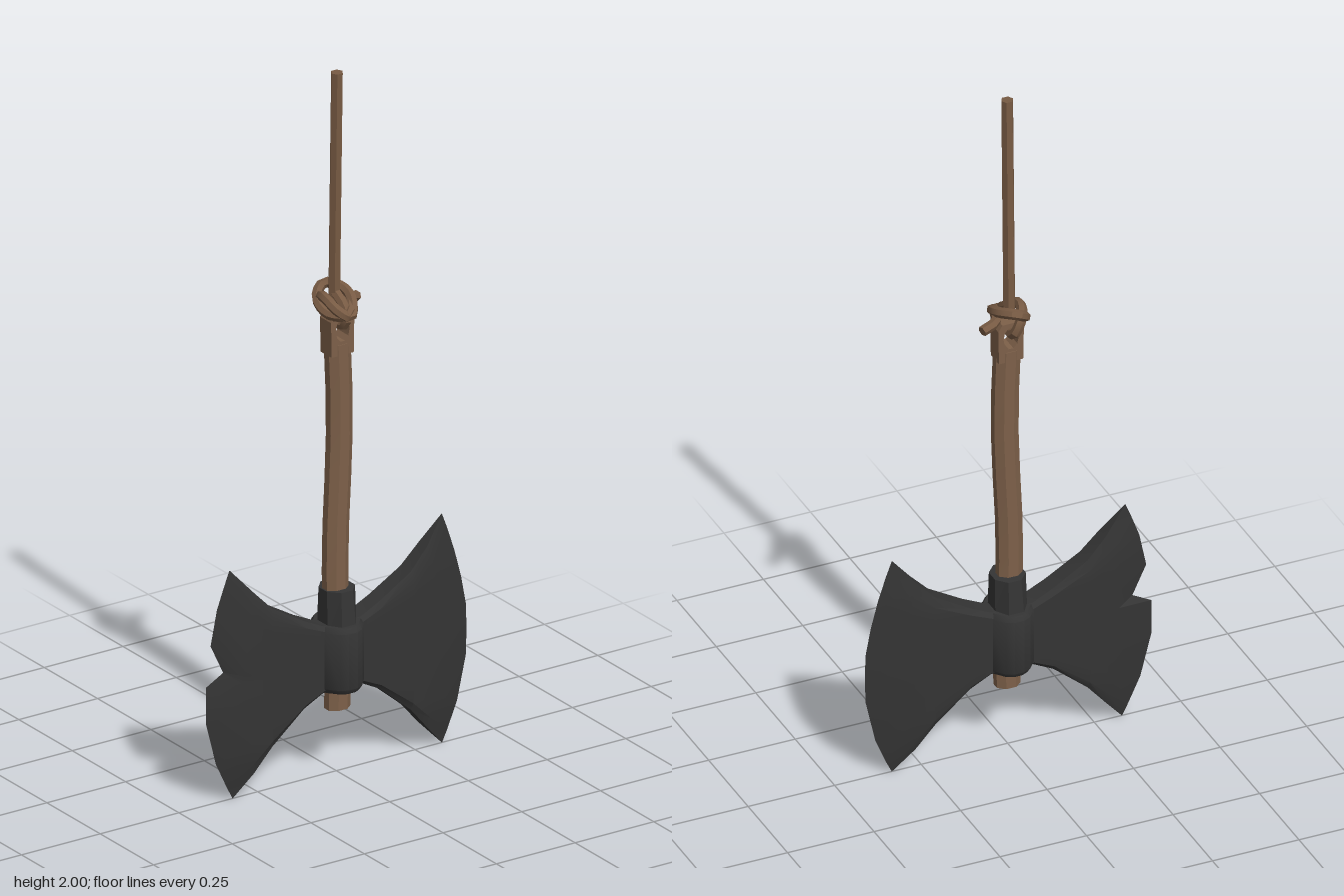
import * as THREE from 'three';
import { toCreasedNormals } from 'three/addons/utils/BufferGeometryUtils.js';

const iron = new THREE.MeshStandardMaterial({ color: 0x343434 });
iron.name = 'dark iron';
const wood = new THREE.MeshStandardMaterial({ color: 0x7d6049 });
wood.name = 'wood';
const hemp = new THREE.MeshStandardMaterial({ color: 0x775a43 });
hemp.name = 'rope';

function add(group, name, geometry, material, crease = 0.5) {
  const mesh = new THREE.Mesh(toCreasedNormals(geometry, crease), material);
  mesh.name = name;
  group.add(mesh);
  return mesh;
}

// Blade: rings of front and back rows, swept from the hub out to the cutting edge
function bladeGeometry(edge, side) {
  // x, bottom, top, half thickness, outward bulge
  const stations = [
    [0.03, 0.246, 0.434, 0.037, 0],
    [0.06, 0.246, 0.437, 0.037, 0],
    [0.12, 0.215, 0.466, 0.036, 0],
    [0.22, 0.13, 0.525, 0.034, 0.01],
    [0.275, 0.065, 0.582, 0.027, 0.035]
  ];
  const rows = edge.length;
  const rings = stations.map(([x, y0, y1, t, bulge]) => edge.map(([, ey], j) => {
    const v = ey / 0.655;
    const rim = j === 0 || j === rows - 1 ? 0.72 : 1;
    return [x + bulge * (1 - (2 * v - 1) ** 2), y0 + (y1 - y0) * v, t * rim];
  }));
  rings.push(edge.map(([x, y]) => [x, y, 0.0008]));

  const position = [], index = [], n = rows * 2;
  for (const ring of rings) {
    for (const [x, y, t] of ring) position.push(side * x, y, t);
    for (const [x, y, t] of [...ring].reverse()) position.push(side * x, y, -t);
  }
  for (let i = 0; i < rings.length - 1; i++) {
    for (let j = 0; j < n; j++) {
      const a = i * n + j, d = i * n + (j + 1) % n, b = a + n, c = d + n;
      if (side > 0) index.push(a, b, c, a, c, d);
      else index.push(a, c, b, a, d, c);
    }
  }
  const g = new THREE.BufferGeometry();
  g.setAttribute('position', new THREE.Float32BufferAttribute(position, 3));
  g.setIndex(index);
  return g;
}

// Six-sided rope along a curve, closed at both ends
function addRope(group, name, points, segments, radius) {
  const curve = new THREE.CatmullRomCurve3(points.map(p => new THREE.Vector3(...p)));
  add(group, name, new THREE.TubeGeometry(curve, segments, radius, 6), hemp);
  for (const u of [0, 1]) {
    const cap = add(group, name + 'End', new THREE.CircleGeometry(radius, 6), hemp);
    const dir = curve.getTangentAt(u).multiplyScalar(u ? 1 : -1);
    cap.position.copy(curve.getPointAt(u));
    cap.quaternion.setFromUnitVectors(new THREE.Vector3(0, 0, 1), dir);
  }
}

export function createModel() {
  const axe = new THREE.Group();
  axe.name = 'hangingAxe';

  // Blades, one whole and one with a chipped edge
  const whole = [[0.335, 0], [0.352, 0.035], [0.383, 0.11], [0.411, 0.235], [0.413, 0.31],
    [0.411, 0.38], [0.396, 0.46], [0.375, 0.54], [0.352, 0.61], [0.335, 0.655]];
  const chipped = [[0.33, 0], [0.348, 0.035], [0.383, 0.11], [0.415, 0.235], [0.415, 0.337],
    [0.36, 0.367], [0.4, 0.452], [0.38, 0.55], [0.358, 0.61], [0.34, 0.655]];
  add(axe, 'leftBlade', bladeGeometry(whole, 1), iron);
  add(axe, 'rightBlade', bladeGeometry(chipped, -1), iron);

  // Hub wrapped around the handle
  const half = [[0.055, 0.03], [0.03, 0.06], [0.012, 0.069]];
  const front = [...half, ...half.map(([x, z]) => [-x, z]).reverse()];
  const outline = [...front, ...front.map(([x, z]) => [-x, -z])];
  const hub = new THREE.ExtrudeGeometry(
    new THREE.Shape(outline.map(p => new THREE.Vector2(...p))),
    { depth: 0.16, bevelEnabled: true, bevelSize: 0.009, bevelThickness: 0.014, bevelSegments: 1 });
  hub.rotateX(-Math.PI / 2).translate(0, 0.261, 0.002);
  add(axe, 'hub', hub, iron, 0.65);

  // Sleeve above the hub
  const sleeve = new THREE.CylinderGeometry(0.048, 0.058, 0.11, 8);
  sleeve.rotateY(Math.PI / 8).scale(1, 1, 1.1).translate(0, 0.475, 0.002);
  const sp = sleeve.attributes.position;
  for (let i = 0; i < sp.count; i++) sp.setX(i, THREE.MathUtils.clamp(sp.getX(i), -0.046, 0.046));
  add(axe, 'sleeve', sleeve, iron);

  // Slightly crooked wooden handle
  const handle = new THREE.CylinderGeometry(0.038, 0.037, 1.045, 8, 8);
  handle.rotateY(Math.PI / 8).scale(1, 1, 0.8).translate(0, 0.7075, 0.004);
  const hp = handle.attributes.position;
  for (let i = 0; i < hp.count; i++) {
    const y = hp.getY(i);
    if (y > 0.3 && y < 1.2) hp.setX(i, hp.getX(i) + 0.007 * Math.sin((y - 0.8) * 7.5));
  }
  add(axe, 'handle', handle, wood);

  // Pierced end of the handle
  const eye = new THREE.Shape([[-0.035, 1.2], [0.035, 1.2], [0.037, 1.3], [0.025, 1.318],
    [-0.025, 1.318], [-0.037, 1.3]].map(p => new THREE.Vector2(...p)));
  const hole = new THREE.Path();
  hole.absellipse(0, 1.272, 0.022, 0.034, 0, Math.PI * 2, true);
  eye.holes.push(hole);
  const end = new THREE.ExtrudeGeometry(eye, { depth: 0.052, bevelEnabled: false, curveSegments: 5 });
  end.translate(0, 0, -0.022);
  add(axe, 'handleEye', end, wood);

  // Hanging rope
  addRope(axe, 'hangingRope', [[0, 2, 0.003], [0, 1.7, -0.003], [0, 1.34, -0.01]], 6, 0.017);

  // Loop through the eye, then a wrap around the rope with a loose tail
  addRope(axe, 'ropeKnot', [
    [0, 1.37, -0.008], [0.004, 1.335, 0.035], [0, 1.295, 0.045], [0, 1.285, 0],
    [0, 1.3, -0.045], [-0.02, 1.345, -0.045], [-0.034, 1.36, -0.005], [-0.024, 1.335, 0.045],
    [0.008, 1.315, 0.055], [0.034, 1.345, 0.025], [0.038, 1.365, -0.025], [0.005, 1.372, -0.066],
    [-0.032, 1.345, -0.045], [-0.032, 1.318, 0.01], [0, 1.322, 0.055], [0.028, 1.34, 0.02],
    [0.045, 1.335, -0.022], [0.09, 1.325, -0.036]
  ], 48, 0.0145);

  return axe;
}
